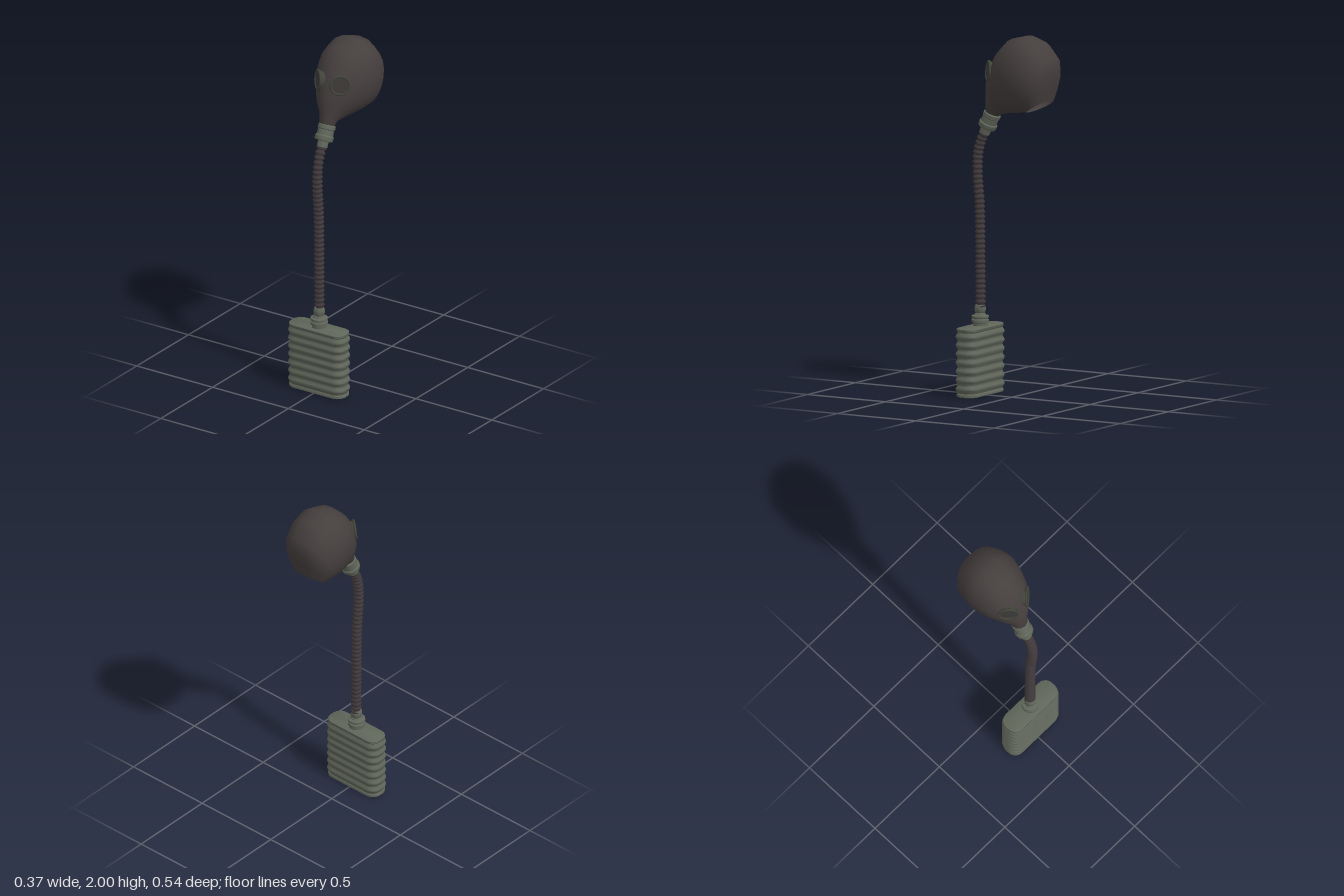
import * as THREE from 'three';
import { toCreasedNormals } from 'three/addons/utils/BufferGeometryUtils.js';

const material = (name, color, side = THREE.FrontSide) => {
  const m = new THREE.MeshStandardMaterial({ color, side });
  m.name = name;
  return m;
};

// Skin a list of closed rings; optionally cap both ends
function loft(rings, capped) {
  const n = rings[0].length, pos = [], index = [];
  rings.forEach(r => r.forEach(p => pos.push(p.x, p.y, p.z)));
  for (let i = 0; i < rings.length - 1; i++) {
    for (let j = 0; j < n; j++) {
      const a = i * n + j, b = i * n + (j + 1) % n;
      index.push(a, a + n, b, b, a + n, b + n);
    }
  }
  if (capped) {
    [rings[0], rings[rings.length - 1]].forEach((ring, top) => {
      const c = ring.reduce((s, p) => s.add(p), new THREE.Vector3()).divideScalar(n);
      const start = pos.length / 3;
      [...ring, c].forEach(p => pos.push(p.x, p.y, p.z));
      for (let j = 0; j < n; j++) {
        const a = start + j, b = start + (j + 1) % n;
        index.push(start + n, top ? b : a, top ? a : b);
      }
    });
  }
  const g = new THREE.BufferGeometry();
  g.setAttribute('position', new THREE.Float32BufferAttribute(pos, 3));
  g.setIndex(index);
  g.computeVertexNormals();
  return g;
}

const lathe = (profile, sides = 20) => toCreasedNormals(
  new THREE.LatheGeometry(profile.map(([r, y]) => new THREE.Vector2(r, y)), sides), 0.6);

// Hood: rings fan around the chin from the snout to the neck opening
function hoodGeometry() {
  // outer z, outer y, chin z, chin y, half width
  const sections = [
    [0.165, 1.555, 0.10, 1.53, 0.038],
    [0.158, 1.65, 0.065, 1.553, 0.052],
    [0.15, 1.73, 0.03, 1.562, 0.085],
    [0.122, 1.81, 0.0, 1.565, 0.112],
    [0.075, 1.90, -0.02, 1.567, 0.14],
    [0.0, 1.975, -0.045, 1.57, 0.158],
    [-0.10, 2.0, -0.065, 1.572, 0.172],
    [-0.19, 1.97, -0.08, 1.575, 0.168],
    [-0.262, 1.89, -0.095, 1.578, 0.156],
    [-0.27, 1.81, -0.105, 1.58, 0.142],
    [-0.258, 1.73, -0.112, 1.58, 0.125],
    [-0.24, 1.65, -0.12, 1.58, 0.10],
  ];
  const sides = 22;
  return loft(sections.map(([oz, oy, cz, cy, w], i) => {
    const power = 1.1 - 0.25 * Math.min(1, i / 6); // narrow face, full skull
    return Array.from({ length: sides }, (_, j) => {
      const t = j / sides * Math.PI * 2, s = Math.sin(t), k = (1 + Math.cos(t)) / 2;
      return new THREE.Vector3(-w * Math.sign(s) * Math.abs(s) ** power,
        cy + (oy - cy) * k, cz + (oz - cz) * k);
    });
  }), false);
}

// Corrugated hose: a tube whose radius ripples along its length
function hoseGeometry() {
  const path = new THREE.CatmullRomCurve3([
    [1.45, 0.174], [1.40, 0.197], [1.33, 0.215], [1.22, 0.219],
    [1.05, 0.206], [0.8, 0.202], [0.47, 0.2],
  ].map(([y, z]) => new THREE.Vector3(0, y, z)));
  const ridges = 36, steps = ridges * 4, sides = 12;
  const g = new THREE.TubeGeometry(path, steps, 1, sides, false);
  const p = g.attributes.position, v = new THREE.Vector3();
  for (let i = 0; i <= steps; i++) {
    const c = path.getPointAt(i / steps);
    const r = 0.0255 - 0.0045 * Math.cos(i * Math.PI / 2);
    for (let j = 0; j <= sides; j++) {
      const k = i * (sides + 1) + j;
      v.fromBufferAttribute(p, k).sub(c).multiplyScalar(r).add(c);
      p.setXYZ(k, v.x, v.y, v.z);
    }
  }
  g.computeVertexNormals();
  return g;
}

// Rounded rectangle ring at height y
function canRing(y, inset) {
  const hx = 0.185 - inset, hz = 0.068 - inset, r = 0.055 - inset * 0.5, ring = [];
  for (let q = 0; q < 4; q++) {
    const sx = q === 0 || q === 3 ? 1 : -1, sz = q < 2 ? 1 : -1;
    for (let k = 0; k <= 5; k++) {
      const a = (q + k / 5) * Math.PI / 2;
      ring.push(new THREE.Vector3(sx * (hx - r) + r * Math.cos(a), y,
        sz * (hz - r) + r * Math.sin(a)));
    }
  }
  return ring;
}

// Canister: ribbed walls between two rolled rims
function canisterGeometry() {
  const rings = [canRing(0, 0.012), canRing(0.004, 0.005), canRing(0.016, 0.005)];
  const ribs = 7, steps = ribs * 6;
  for (let i = 0; i <= steps; i++) {
    const wave = (1 - Math.cos(i / 6 * Math.PI * 2)) / 2;
    rings.push(canRing(0.022 + 0.336 * i / steps, 0.01 - 0.01 * wave));
  }
  rings.push(canRing(0.364, 0.005), canRing(0.376, 0.005), canRing(0.38, 0.012));
  return toCreasedNormals(loft(rings, true), 0.75);
}

export function createModel() {
  const rubber = material('mask rubber', 0x453f3e, THREE.DoubleSide);
  const hoseRubber = material('hose rubber', 0x40393b, THREE.DoubleSide);
  const olive = material('olive metal', 0x60665a, THREE.DoubleSide);
  const rimMetal = material('dark olive rim', 0x41443a);
  const glass = material('lens glass', 0x3d3a39);

  const model = new THREE.Group();
  model.name = 'gasMask';
  const add = (name, geometry, mat, parent = model) => {
    const mesh = new THREE.Mesh(geometry, mat);
    mesh.name = name;
    parent.add(mesh);
    return mesh;
  };

  add('hood', hoodGeometry(), rubber);

  // Eyepieces
  for (const side of [1, -1]) {
    const eye = new THREE.Group();
    eye.name = side > 0 ? 'leftEyepiece' : 'rightEyepiece';
    eye.position.set(side * 0.073, 1.8, 0.107);
    eye.lookAt(side * 0.733, 1.9, 0.857);
    add('eyeRim', new THREE.TorusGeometry(0.052, 0.007, 8, 24), rimMetal, eye);
    const seat = add('eyeSeat', new THREE.CylinderGeometry(0.052, 0.05, 0.03, 24, 1, true), rimMetal, eye);
    seat.rotation.x = Math.PI / 2;
    seat.position.z = -0.014;
    add('lens', new THREE.CircleGeometry(0.05, 24), glass, eye).position.z = 0.002;
    model.add(eye);
  }

  // Snout connector
  const collar = add('snoutConnector', lathe([
    [0.022, -0.085], [0.03, -0.08], [0.03, -0.047], [0.049, -0.044], [0.052, -0.036],
    [0.052, -0.018], [0.046, -0.012], [0.045, 0.018], [0.049, 0.022], [0.049, 0.042], [0.04, 0.048],
  ]), olive);
  collar.position.set(0, 1.515, 0.142);
  collar.rotation.x = -0.43;

  add('hose', hoseGeometry(), hoseRubber);

  // Canister with its threaded fitting
  const canister = new THREE.Group();
  canister.name = 'canister';
  canister.position.z = 0.203;
  add('canisterBody', canisterGeometry(), olive, canister);
  add('canisterFitting', lathe([
    [0.04, 0.378], [0.04, 0.395], [0.048, 0.398], [0.048, 0.412], [0.041, 0.416],
    [0.041, 0.42], [0.048, 0.424], [0.048, 0.434], [0.032, 0.439], [0.026, 0.45],
    [0.031, 0.46], [0.031, 0.482], [0.026, 0.494], [0.015, 0.495],
  ]), olive, canister);
  const inlet = add('inletHole', new THREE.CircleGeometry(0.028, 20), rimMetal, canister);
  inlet.rotation.x = Math.PI / 2;
  inlet.position.y = -0.001;
  model.add(canister);

  return model;
}
